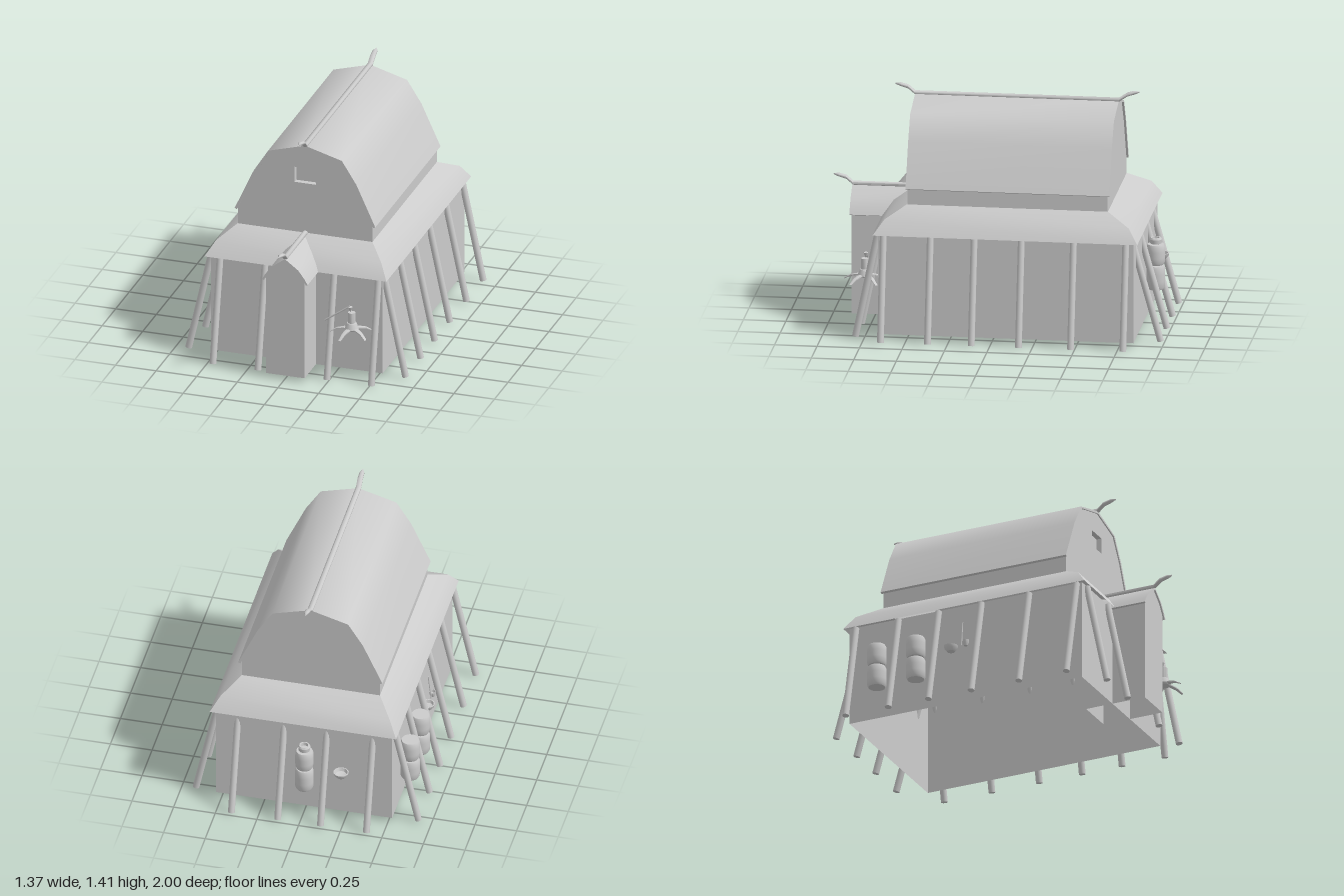
import * as THREE from 'three';
import { toCreasedNormals } from 'three/addons/utils/BufferGeometryUtils.js';

const grey = new THREE.MeshStandardMaterial({ color: 0xcccccc, side: THREE.DoubleSide });
const V = (x, y, z) => new THREE.Vector3(x, y, z);
const CX = 0.006; // ridge line of the house

function add(parent, name, geometry, x = 0, y = 0, z = 0) {
  const mesh = new THREE.Mesh(geometry, grey);
  mesh.name = name;
  mesh.position.set(x, y, z);
  parent.add(mesh);
  return mesh;
}

// Joins equal-sized closed rings of points into a skin
function loft(rings, crease = 0.7) {
  const pos = [], index = [], n = rings[0].length;
  rings.forEach(r => r.forEach(p => pos.push(p.x, p.y, p.z)));
  for (let i = 0; i < rings.length - 1; i++)
    for (let j = 0; j < n; j++) {
      const a = i * n + j, b = i * n + (j + 1) % n;
      index.push(a, a + n, b, b, a + n, b + n);
    }
  const g = new THREE.BufferGeometry();
  g.setAttribute('position', new THREE.Float32BufferAttribute(pos, 3));
  g.setIndex(index);
  return toCreasedNormals(g, crease);
}

// Horizontal rectangle ring
const rect = (x0, x1, z0, z1, y) => [V(x0, y, z1), V(x1, y, z1), V(x1, y, z0), V(x0, y, z0)];

// Flattened tapering bar through stations [point, half width, half height]
function bar(stations, side, sides = 8) {
  return loft(stations.map(([p, w, h]) => Array.from({ length: sides }, (_, i) => {
    const a = (i + 0.5) / sides * Math.PI * 2;
    return p.clone().addScaledVector(side, w * Math.cos(a)).add(V(0, h * Math.sin(a), 0));
  })), 1);
}

// Round post between two points
function rod(parent, name, a, b, r, sides = 14) {
  const d = b.clone().sub(a), m = a.clone().add(b).multiplyScalar(0.5);
  const mesh = add(parent, name, new THREE.CylinderGeometry(r, r, d.length(), sides), m.x, m.y, m.z);
  mesh.quaternion.setFromUnitVectors(V(0, 1, 0), d.normalize());
}

// Mirrors a half profile (eave to ridge) about the ridge line
const mirror = half => [...half, ...half.slice(0, -1).reverse().map(([x, y]) => [-x, y])];
const shapeOf = pts => new THREE.Shape(pts.map(([x, y]) => new THREE.Vector2(x, y)));

// Bent roof shell of even thickness, running from z0 to z1
function roofShell(half, t, z0, z1) {
  const inner = half.map(([x, y], i) => i === half.length - 1 ? [0, y - t] : [x - t * 0.85, y - t * 0.45]);
  const shape = shapeOf([...mirror(half), ...mirror(inner).reverse()]);
  const g = new THREE.ExtrudeGeometry(shape, { depth: z1 - z0, bevelEnabled: false });
  g.translate(CX, 0, z0);
  return toCreasedNormals(g, 0.85);
}

// Ridge pole with an upturned tip at one or both ends
function ridgePole(parent, name, y, z0, z1, backTip, rise) {
  const s = [];
  if (backTip) s.push([V(CX, y + rise, z0 - 0.12), 0.002, 0.004], [V(CX, y + rise - 0.004, z0 - 0.09), 0.015, 0.011],
    [V(CX, y + rise - 0.016, z0 - 0.05), 0.017, 0.012]);
  s.push([V(CX, y, z0), 0.017, 0.012], [V(CX, y, z1), 0.017, 0.012],
    [V(CX, y + rise - 0.016, z1 + 0.04), 0.017, 0.012], [V(CX, y + rise - 0.004, z1 + 0.085), 0.015, 0.011],
    [V(CX, y + rise, z1 + 0.115), 0.002, 0.004]);
  add(parent, name, bar(s, V(1, 0, 0)));
}

const lathe = (pts, n = 20) => toCreasedNormals(
  new THREE.LatheGeometry(pts.map(([r, y]) => new THREE.Vector2(r, y)), n), 0.6);

// Cask with rounded shoulders, standing on its origin
const cask = (r, h) => lathe([[0, 0], [r * 0.85, 0], [r * 0.97, h * 0.1], [r, h * 0.35], [r, h * 0.65],
  [r * 0.97, h * 0.9], [r * 0.87, h], [0, h]]);
const bowl = (r, h) => lathe([[0, 0], [r * 0.55, 0], [r * 0.9, h * 0.5], [r, h], [r * 0.85, h],
  [r * 0.7, h * 0.5], [0, h * 0.25]]);

export function createModel() {
  const house = new THREE.Group();
  house.name = 'house';

  // Lower storey, open below
  add(house, 'lowerWalls', loft([rect(-0.523, 0.535, -0.835, 0.67, 0.035), rect(-0.523, 0.535, -0.835, 0.67, 0.645)]));
  add(house, 'skirtRoof', loft([
    rect(-0.553, 0.567, -0.862, 0.698, 0.64), rect(-0.503, 0.515, -0.805, 0.635, 0.725),
    rect(-0.41, 0.42, -0.67, 0.515, 0.795)]));

  // Upper storey with gable ends
  add(house, 'upperWalls', loft([rect(-0.41, 0.42, -0.668, 0.512, 0.79), rect(-0.41, 0.42, -0.668, 0.512, 0.91)]));
  const roofHalf = [[0.433, 0.893], [0.316, 1.15], [0.227, 1.29], [0, 1.355]];
  const gable = mirror([[0.413, 0.79], [0.413, 0.9], [0.302, 1.145], [0.218, 1.28], [0, 1.344]]);
  add(house, 'backGable', new THREE.ShapeGeometry(shapeOf(gable)), CX, 0, -0.668);
  const front = shapeOf(gable);
  front.holes.push(new THREE.Path([V(-0.066, 1.11), V(-0.066, 1.207), V(0.064, 1.207), V(0.064, 1.11)]));
  add(house, 'frontGable', new THREE.ShapeGeometry(front), CX, 0, 0.512);
  add(house, 'upperRoof', roofShell(roofHalf, 0.015, -0.68, 0.52));
  ridgePole(house, 'upperRidgePole', 1.358, -0.68, 0.52, true, 0.05);

  // Recessed gable window
  const frame = z => [V(-0.06, 1.11, z), V(0.07, 1.11, z), V(0.07, 1.207, z), V(-0.06, 1.207, z)];
  add(house, 'windowRecess', loft([frame(0.48), frame(0.512)]));
  add(house, 'windowPane', new THREE.PlaneGeometry(0.13, 0.097), 0.005, 1.1585, 0.48);

  // Entrance porch
  const porchHalf = [[0.14, 0.64], [0.122, 0.672], [0.083, 0.725], [0, 0.787]];
  const porch = new THREE.Group();
  porch.name = 'porch';
  house.add(porch);
  add(porch, 'porchWalls', loft([rect(-0.112, 0.124, 0.5, 0.88, 0.035), rect(-0.112, 0.124, 0.5, 0.88, 0.66)]));
  add(porch, 'porchGable', new THREE.ShapeGeometry(
    shapeOf(mirror([[0.118, 0.64], [0.113, 0.668], [0.076, 0.717], [0, 0.775]]))), CX, 0, 0.88);
  add(porch, 'porchRoof', roofShell(porchHalf, 0.012, 0.52, 0.89));
  ridgePole(porch, 'porchRidgePole', 0.795, 0.5, 0.885, false, 0.05);

  // Leaning posts on all four sides
  const posts = new THREE.Group();
  posts.name = 'posts';
  house.add(posts);
  for (const x of [-0.465, -0.188, 0.237, 0.51]) rod(posts, 'frontPost', V(x, 0.637, 0.675), V(x, 0.012, 0.805), 0.02);
  for (const x of [-0.403, -0.127, 0.13, 0.408]) rod(posts, 'backPost', V(x, 0.637, -0.805), V(x, 0.018, -0.979), 0.02);
  for (const z of [-0.79, -0.515, -0.255, 0.022, 0.33, 0.638])
    rod(posts, 'rightPost', V(-0.53, 0.637, z), V(-0.67, 0.017, z), 0.02);
  for (const z of [-0.79, -0.482, -0.175, 0.103, 0.361, 0.638])
    rod(posts, 'leftPost', V(0.535, 0.637, z), V(0.665, 0.02, z), 0.02);

  // Stacked casks and bowls on the right wall
  for (const z of [-0.63, -0.378]) {
    add(house, 'lowerCask', cask(0.058, 0.132), -0.582, 0.203, z);
    add(house, 'upperCask', cask(0.058, 0.128), -0.582, 0.343, z);
  }
  add(house, 'sideBowl', bowl(0.042, 0.035), -0.572, 0.343, -0.155);
  add(house, 'sideCup', bowl(0.02, 0.035), -0.577, 0.36, -0.057);
  rod(house, 'dipperHandle', V(-0.577, 0.365, -0.085), V(-0.56, 0.52, -0.085), 0.004, 6);

  // Casks and bowl on the back wall
  add(house, 'backLowerCask', cask(0.055, 0.142), -0.01, 0.215, -0.895);
  add(house, 'backUpperCask', cask(0.054, 0.122), -0.01, 0.364, -0.895);
  add(house, 'backJar', lathe([[0.02, 0], [0.034, 0.006], [0.036, 0.03], [0.03, 0.04], [0.022, 0.04], [0.02, 0.02], [0, 0.02]]),
    -0.01, 0.486, -0.895);
  add(house, 'backBowl', bowl(0.045, 0.035), -0.232, 0.335, -0.9);

  // Five-armed hanging tool by the door
  const tool = new THREE.Group();
  tool.name = 'hangingTool';
  tool.position.set(0.377, 0, 0.768);
  house.add(tool);
  add(tool, 'toolHub', lathe([[0, 0.33], [0.036, 0.335], [0.042, 0.345], [0.028, 0.38], [0.022, 0.382], [0.022, 0.447], [0, 0.447]], 12));
  for (let i = 0; i < 5; i++) {
    const a = (105 + i * 72) * Math.PI / 180, c = Math.cos(a), s = Math.sin(a);
    const at = (d, y) => V(c * d, y, s * d);
    add(tool, 'toolArm', bar([[at(0.015, 0.345), 0.02, 0.008], [at(0.05, 0.345), 0.016, 0.007],
      [at(0.09, 0.335), 0.012, 0.007], [at(0.128, 0.313), 0.009, 0.003]], V(-s, 0, c), 6));
  }
  rod(tool, 'toolStick', V(-0.165, 0.373, -0.005), V(-0.012, 0.482, -0.005), 0.005, 6);
  const hook = add(tool, 'toolHook', new THREE.ConeGeometry(0.014, 0.035, 8), -0.01, 0.46, -0.005);
  hook.rotation.z = Math.PI;
  return house;
}
